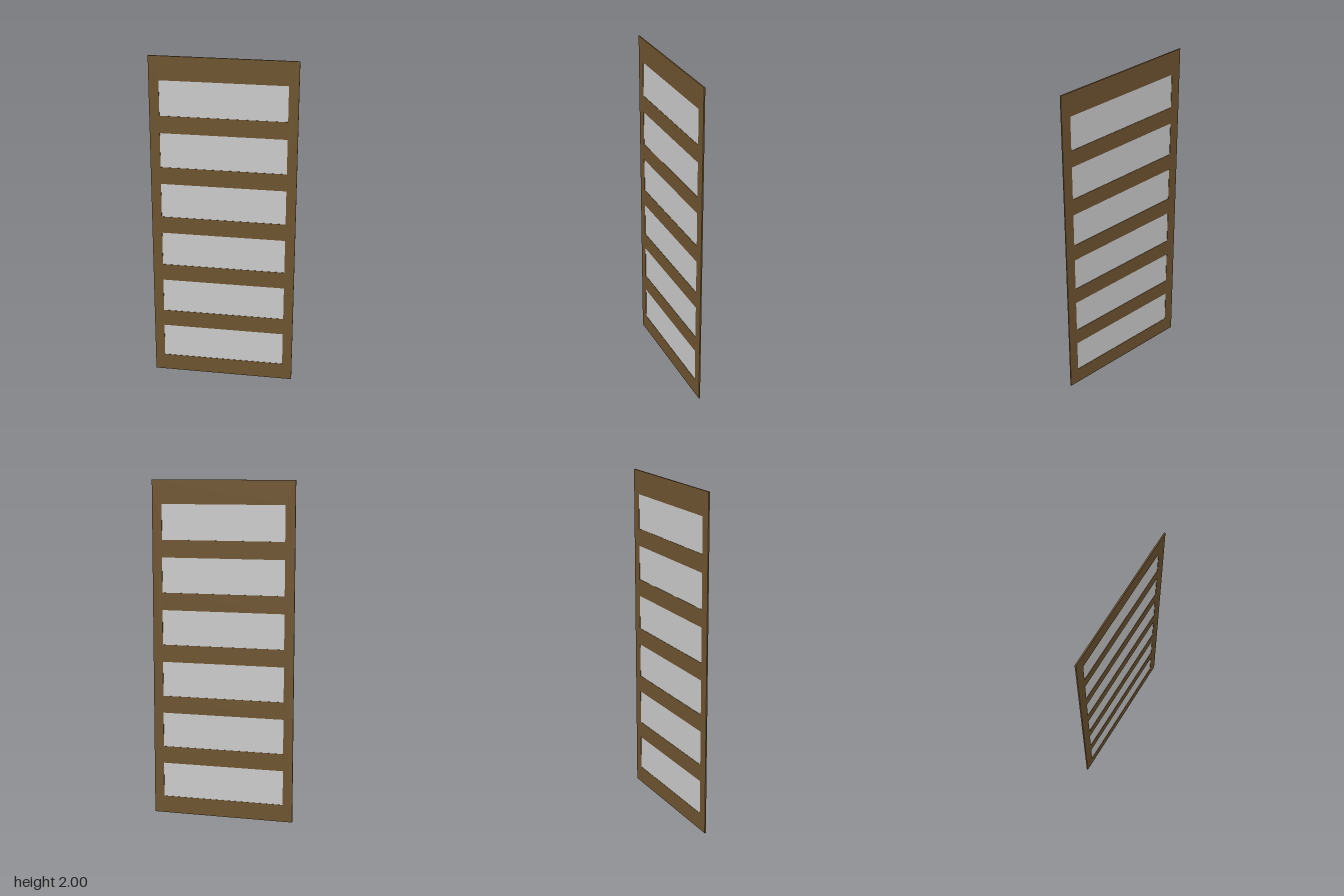
import * as THREE from 'three';

const W = 0.848, H = 2, T = 0.008;           // overall door size
const PANES = 6, PW = 0.732, PH = 0.207;     // pane count and size
const FIRST = 0.103, PITCH = 0.31;           // lowest pane edge and spacing

function rect(target, x, y, w, h) {
  target.moveTo(x, y);
  target.lineTo(x + w, y);
  target.lineTo(x + w, y + h);
  target.lineTo(x, y + h);
  target.closePath();
  return target;
}

export function createModel() {
  const door = new THREE.Group();
  door.name = 'panelledDoor';
  const wood = new THREE.MeshStandardMaterial({ color: 0x6e5430 });
  const glass = new THREE.MeshStandardMaterial({ color: 0xcccccc });

  // Frame: one slab with a row of rectangular openings
  const outline = rect(new THREE.Shape(), -W / 2, 0, W, H);
  for (let i = 0; i < PANES; i++) {
    const y = FIRST + i * PITCH;
    outline.holes.push(rect(new THREE.Path(), -PW / 2, y, PW, PH));

    // Pane: thin sheet set in the middle of the frame
    const pane = new THREE.Mesh(new THREE.BoxGeometry(PW, PH, T / 2), glass);
    pane.position.y = y + PH / 2;
    pane.name = `pane${i + 1}`;
    door.add(pane);
  }
  const geometry = new THREE.ExtrudeGeometry(outline, { depth: T, bevelEnabled: false });
  geometry.translate(0, 0, -T / 2);
  const frame = new THREE.Mesh(geometry, wood);
  frame.name = 'frame';
  door.add(frame);

  return door;
}
